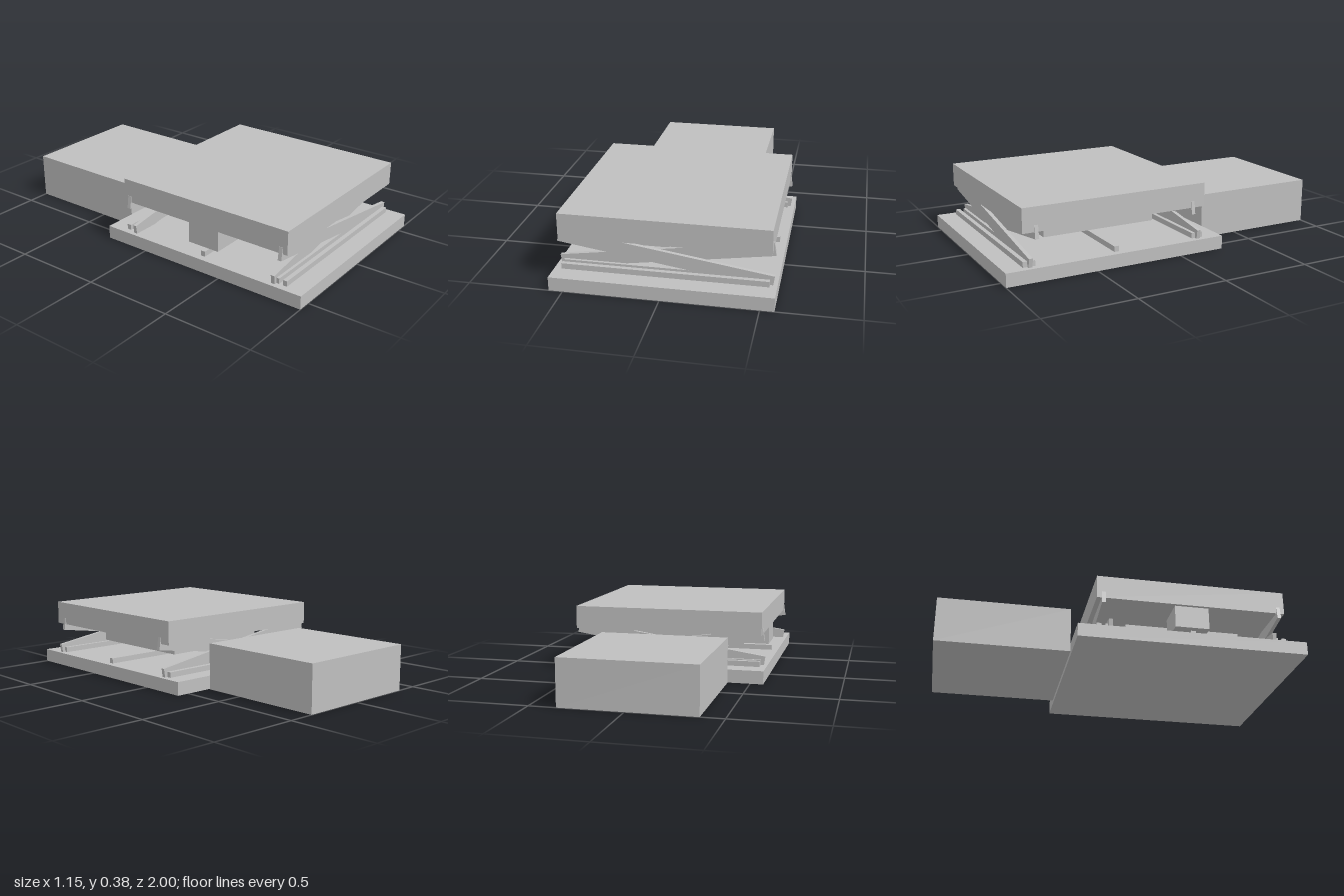
import * as THREE from 'three';

export function createModel() {
  const model = new THREE.Group();
  model.name = 'scissorLift';
  const steel = new THREE.MeshStandardMaterial({ color: 0xbfbfbf });
  steel.name = 'greySteel';

  // Box given by its limits along each axis
  function block(name, [x0, x1], [y0, y1], [z0, z1]) {
    const mesh = new THREE.Mesh(new THREE.BoxGeometry(x1 - x0, y1 - y0, z1 - z0), steel);
    mesh.name = name;
    mesh.position.set((x0 + x1) / 2, (y0 + y1) / 2, (z0 + z1) / 2);
    model.add(mesh);
    return mesh;
  }

  // Main bodies
  block('basePlate', [-0.573, 0.573], [0, 0.074], [-0.265, 1]);
  block('platform', [-0.545, 0.545], [0.252, 0.383], [-0.16, 0.897]);
  block('powerUnit', [-0.375, 0.352], [0, 0.255], [-1, -0.273]);

  // Drive gear under the platform
  block('driveHousing', [-0.319, 0.334], [0.145, 0.219], [0.043, 0.698]);
  block('motorBlock', [-0.528, -0.347], [0.126, 0.253], [0.275, 0.465]);

  // Guide rails on the base: a pair around each outer arm, and one in the middle
  const rails = [[0.872, 0.896], [0.829, 0.85], [0.358, 0.385], [-0.112, -0.091], [-0.159, -0.134]];
  for (const z of rails) block('guideRail', [-0.535, 0.535], [0.074, 0.104], z);

  // Crossed scissor arms; tilt -1 is high on the right side, +1 high on the left
  const arms = [[0.861, -1], [0.824, 1], [-0.086, 1], [-0.123, -1]];
  for (const [z, tilt] of arms) {
    const arm = block('scissorArm', [-0.559, 0.559], [0.135, 0.206], [z - 0.0105, z + 0.0105]);
    arm.rotation.z = tilt * 0.149;
  }
  return model;
}
